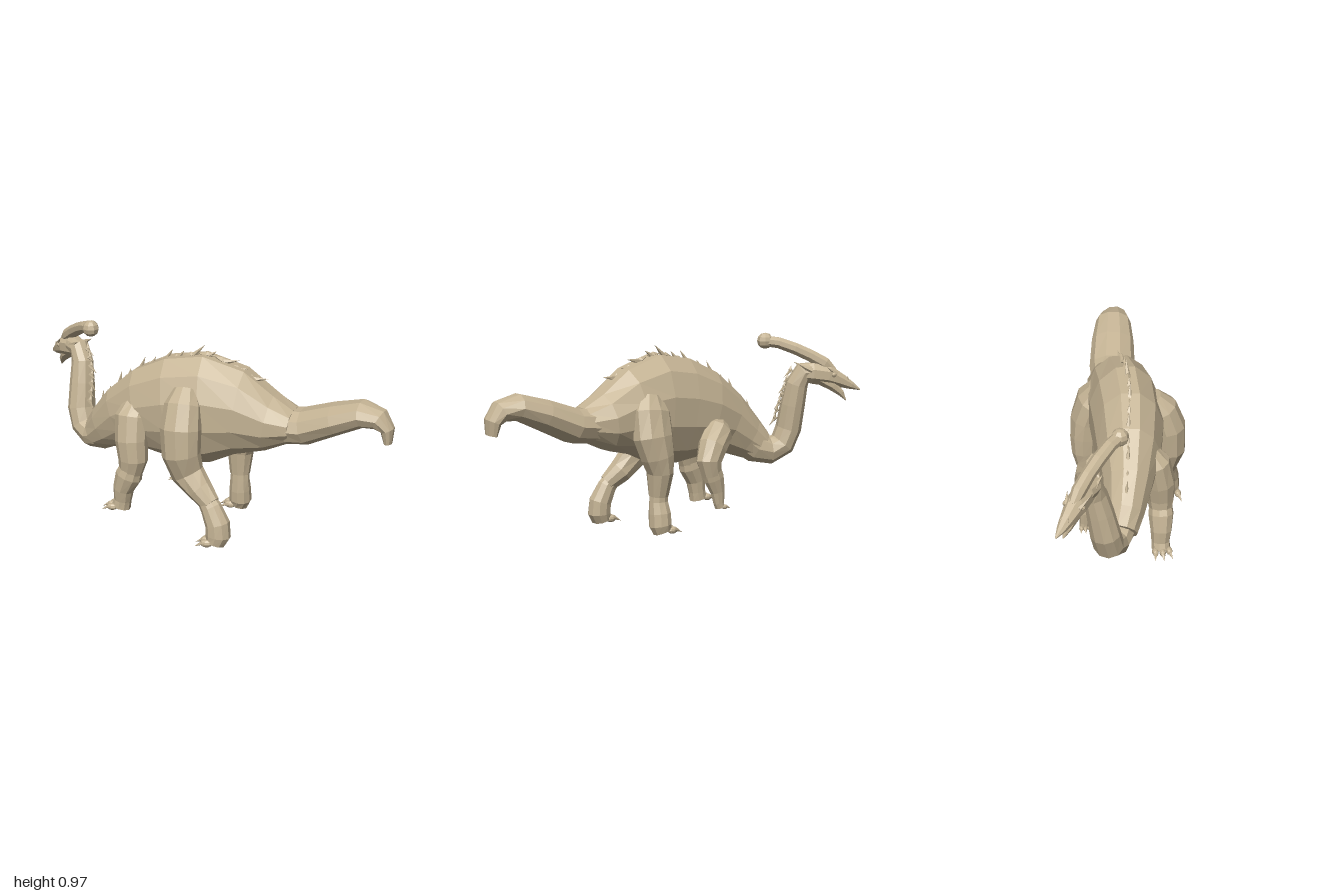
import * as THREE from 'three';

const skin = new THREE.MeshStandardMaterial({ color: 0xc4b394, flatShading: true });
const V = (a) => new THREE.Vector3(a[0], a[1], a[2]);

function addMesh(parent, name, geometry) {
  const m = new THREE.Mesh(geometry, skin);
  m.name = name;
  parent.add(m);
  return m;
}

// Closed skin over elliptical rings; a ring is [x, y, z, height radius, side radius]
function loft(rings, side = [0, 0, 1], n = 10) {
  const pos = [], index = [];
  const c = rings.map(V);
  rings.forEach((r, i) => {
    const t = c[Math.min(i + 1, c.length - 1)].clone().sub(c[Math.max(i - 1, 0)]).normalize();
    const s = V(side);
    s.addScaledVector(t, -s.dot(t)).normalize();
    const u = s.clone().cross(t);
    for (let j = 0; j < n; j++) {
      const a = ((j + 0.5) / n) * Math.PI * 2;
      const p = c[i].clone().addScaledVector(u, r[3] * Math.cos(a)).addScaledVector(s, r[4] * Math.sin(a));
      pos.push(p.x, p.y, p.z);
    }
  });
  const last = rings.length - 1, c0 = rings.length * n, c1 = c0 + 1;
  pos.push(...c[0].toArray(), ...c[last].toArray());
  for (let j = 0; j < n; j++) {
    const k = (j + 1) % n;
    for (let i = 0; i < last; i++) {
      const a = i * n + j, b = i * n + k;
      index.push(a, b, b + n, a, b + n, a + n);
    }
    index.push(c0, k, j, c1, last * n + j, last * n + k);
  }
  const g = new THREE.BufferGeometry();
  g.setAttribute('position', new THREE.Float32BufferAttribute(pos, 3));
  g.setIndex(index);
  g.computeVertexNormals();
  return g;
}

// Pointed cone from a base point to a tip
function spike(parent, name, from, to, radius) {
  const d = to.clone().sub(from);
  const m = addMesh(parent, name, new THREE.ConeGeometry(radius, d.length(), 5));
  m.position.copy(from).addScaledVector(d, 0.5);
  m.quaternion.setFromUnitVectors(new THREE.Vector3(0, 1, 0), d.normalize());
}

function ball(parent, name, p, r, sx = 1, sy = 1, sz = 1) {
  const m = addMesh(parent, name, new THREE.SphereGeometry(r, 8, 6));
  m.position.copy(V(p));
  m.scale.set(sx, sy, sz);
}

// Upper and lower limb, and a fan of clawed toes
function leg(parent, name, upper, lower, toeSize) {
  const g = new THREE.Group();
  g.name = name;
  parent.add(g);
  addMesh(g, 'thigh', loft(upper));
  addMesh(g, 'shin', loft(lower));
  const [x, y, z, rx, rz] = lower[lower.length - 1];
  for (const k of [-1, 0, 1]) {
    const px = x - rx * (k ? 0.75 : 0.95), pz = z + k * rz * 0.75;
    ball(g, 'toe', [px, y + toeSize * 0.25, pz], toeSize, 1.4, 0.85, 0.8);
    spike(g, 'claw', V([px - toeSize * 0.7, y + toeSize * 0.4, pz]),
      V([px - toeSize * 2.5, y - toeSize * 0.55, pz + k * toeSize * 0.5]), toeSize * 0.55);
  }
}

// Row of spines leaning toward the tail, each with a scale at its root
function spineRow(parent, points, count, size) {
  const curve = new THREE.CatmullRomCurve3(points.map(V));
  for (let i = 0; i < count; i++) {
    const p = curve.getPointAt(i / (count - 1)), t = curve.getTangentAt(i / (count - 1));
    const normal = new THREE.Vector3(-t.y, t.x, 0).normalize();
    const len = size * (i % 2 ? 0.7 : 1.1);
    const base = p.clone().addScaledVector(normal, -0.012);
    const tip = p.clone().addScaledVector(t, len).addScaledVector(normal, len * 0.5);
    spike(parent, 'spine', base, tip, size * 0.24);
    const scale = addMesh(parent, 'spineScale', new THREE.OctahedronGeometry(size * 0.45));
    scale.position.copy(p);
    scale.quaternion.setFromUnitVectors(new THREE.Vector3(1, 0, 0), t);
    scale.scale.set(1.3, 0.45, 0.5);
  }
}

export function createModel() {
  const root = new THREE.Group();
  root.name = 'crestedDinosaur';
  const heading = [-0.55, 0, 0.83];

  // Arched trunk, tail end first
  addMesh(root, 'body', loft([
    [0.50, 0.595, 0.11, 0.085, 0.115], [0.38, 0.595, 0.095, 0.15, 0.15],
    [0.22, 0.63, 0.088, 0.228, 0.172], [0.05, 0.63, 0.087, 0.288, 0.185],
    [-0.12, 0.607, 0.077, 0.28, 0.18], [-0.28, 0.572, 0.05, 0.232, 0.16],
    [-0.42, 0.515, 0.02, 0.167, 0.125], [-0.53, 0.43, -0.015, 0.122, 0.10],
    [-0.60, 0.375, -0.045, 0.09, 0.085],
  ], [0, 0, 1], 12));

  // Tail rising and then drooping at the tip
  addMesh(root, 'tail', loft([
    [0.36, 0.60, 0.095, 0.08, 0.11], [0.45, 0.585, 0.10, 0.092, 0.118],
    [0.56, 0.597, 0.11, 0.09, 0.122], [0.72, 0.665, 0.14, 0.078, 0.114],
    [0.85, 0.712, 0.165, 0.067, 0.095], [0.935, 0.697, 0.183, 0.054, 0.072],
    [0.975, 0.65, 0.19, 0.034, 0.057], [0.98, 0.585, 0.195, 0.02, 0.042],
  ]));

  // S-shaped neck
  addMesh(root, 'neck', loft([
    [-0.50, 0.44, -0.01, 0.10, 0.09], [-0.57, 0.375, -0.045, 0.088, 0.082],
    [-0.645, 0.35, -0.085, 0.074, 0.078], [-0.705, 0.385, -0.12, 0.07, 0.077],
    [-0.732, 0.47, -0.14, 0.069, 0.075], [-0.735, 0.60, -0.165, 0.066, 0.066],
    [-0.74, 0.71, -0.188, 0.06, 0.056], [-0.765, 0.775, -0.212, 0.054, 0.052],
    [-0.82, 0.78, -0.25, 0.048, 0.046],
  ], heading));

  // Head with open beak, crest, eyes and horns
  const head = new THREE.Group();
  head.name = 'head';
  root.add(head);
  addMesh(head, 'skull', loft([
    [-0.74, 0.765, -0.20, 0.035, 0.035], [-0.80, 0.768, -0.245, 0.06, 0.052],
    [-0.87, 0.755, -0.295, 0.058, 0.052], [-0.925, 0.725, -0.34, 0.038, 0.037],
    [-0.965, 0.70, -0.375, 0.022, 0.024], [-1.0, 0.677, -0.407, 0.003, 0.004],
  ], heading, 8));
  addMesh(head, 'lowerJaw', loft([
    [-0.83, 0.74, -0.27, 0.035, 0.038], [-0.885, 0.70, -0.315, 0.03, 0.032],
    [-0.918, 0.66, -0.345, 0.018, 0.02], [-0.935, 0.622, -0.366, 0.002, 0.003],
  ], heading, 8));
  addMesh(head, 'crest', loft([
    [-0.89, 0.775, -0.31, 0.025, 0.025], [-0.855, 0.818, -0.28, 0.036, 0.035],
    [-0.80, 0.86, -0.23, 0.034, 0.034], [-0.74, 0.898, -0.172, 0.033, 0.035],
    [-0.68, 0.928, -0.11, 0.031, 0.033], [-0.635, 0.937, -0.06, 0.03, 0.032],
  ], heading, 8));
  ball(head, 'crestKnob', [-0.633, 0.938, -0.055], 0.043);
  const across = V(heading);
  for (const s of [-1, 1]) {
    const at = (p, d) => V(p).addScaledVector(across, s * d);
    ball(head, 'eye', at([-0.885, 0.762, -0.307], 0.043).toArray(), 0.013);
    spike(head, 'browHorn', at([-0.90, 0.765, -0.315], 0.032), at([-0.855, 0.805, -0.28], 0.058), 0.014);
    spike(head, 'cheekHorn', at([-0.79, 0.785, -0.235], 0.035), at([-0.725, 0.825, -0.19], 0.045), 0.018);
    spike(head, 'beakHorn', at([-0.95, 0.72, -0.36], 0.012), at([-0.945, 0.755, -0.358], 0.02), 0.012);
  }

  // Legs in mid stride
  leg(root, 'leftHindLeg', [
    [-0.03, 0.755, 0.215, 0.06, 0.05], [-0.03, 0.69, 0.262, 0.093, 0.08],
    [-0.03, 0.58, 0.298, 0.104, 0.09], [-0.025, 0.45, 0.305, 0.098, 0.087],
    [0.005, 0.345, 0.292, 0.086, 0.064], [0.075, 0.275, 0.31, 0.066, 0.064], [0.14, 0.215, 0.338, 0.05, 0.044],
  ], [
    [0.10, 0.25, 0.325, 0.045, 0.04], [0.14, 0.20, 0.34, 0.055, 0.046],
    [0.178, 0.12, 0.352, 0.063, 0.056], [0.182, 0.06, 0.355, 0.064, 0.058], [0.17, 0.022, 0.357, 0.05, 0.053],
  ], 0.023);
  leg(root, 'leftForeleg', [
    [-0.32, 0.63, 0.14, 0.06, 0.05], [-0.33, 0.57, 0.175, 0.086, 0.074],
    [-0.325, 0.45, 0.20, 0.084, 0.077], [-0.315, 0.35, 0.208, 0.076, 0.07], [-0.33, 0.27, 0.207, 0.058, 0.055],
  ], [
    [-0.315, 0.33, 0.207, 0.055, 0.055], [-0.34, 0.26, 0.207, 0.07, 0.064],
    [-0.372, 0.18, 0.203, 0.054, 0.054], [-0.378, 0.12, 0.20, 0.045, 0.047], [-0.388, 0.08, 0.20, 0.05, 0.047],
  ], 0.021);
  leg(root, 'rightForeleg', [
    [-0.29, 0.52, -0.05, 0.06, 0.05], [-0.24, 0.49, -0.10, 0.088, 0.072],
    [-0.17, 0.43, -0.13, 0.082, 0.07], [-0.135, 0.36, -0.142, 0.072, 0.06], [-0.15, 0.29, -0.147, 0.054, 0.046],
  ], [
    [-0.14, 0.34, -0.145, 0.055, 0.048], [-0.165, 0.27, -0.149, 0.058, 0.046],
    [-0.185, 0.20, -0.155, 0.042, 0.034], [-0.19, 0.14, -0.158, 0.03, 0.027], [-0.195, 0.115, -0.16, 0.024, 0.026],
  ], 0.014);
  leg(root, 'rightHindLeg', [
    [0.17, 0.71, -0.03, 0.07, 0.05], [0.19, 0.64, -0.06, 0.113, 0.074],
    [0.20, 0.52, -0.087, 0.113, 0.083], [0.18, 0.42, -0.096, 0.09, 0.08],
    [0.165, 0.34, -0.098, 0.067, 0.072], [0.165, 0.22, -0.087, 0.052, 0.05],
  ], [
    [0.165, 0.26, -0.09, 0.045, 0.045], [0.165, 0.19, -0.087, 0.05, 0.046],
    [0.165, 0.13, -0.095, 0.056, 0.058], [0.165, 0.07, -0.10, 0.058, 0.06], [0.155, 0.038, -0.105, 0.05, 0.048],
  ], 0.022);

  // Spines down the nape and along the back
  const spines = new THREE.Group();
  spines.name = 'backSpines';
  root.add(spines);
  spineRow(spines, [[-0.70, 0.79, -0.175], [-0.675, 0.70, -0.155], [-0.665, 0.60, -0.125], [-0.665, 0.53, -0.10]], 7, 0.045);
  spineRow(spines, [[-0.57, 0.54, -0.015], [-0.47, 0.66, 0.01], [-0.32, 0.785, 0.04], [-0.12, 0.875, 0.08],
    [0.05, 0.905, 0.09], [0.2, 0.85, 0.095], [0.27, 0.815, 0.1]], 13, 0.075);
  return root;
}
